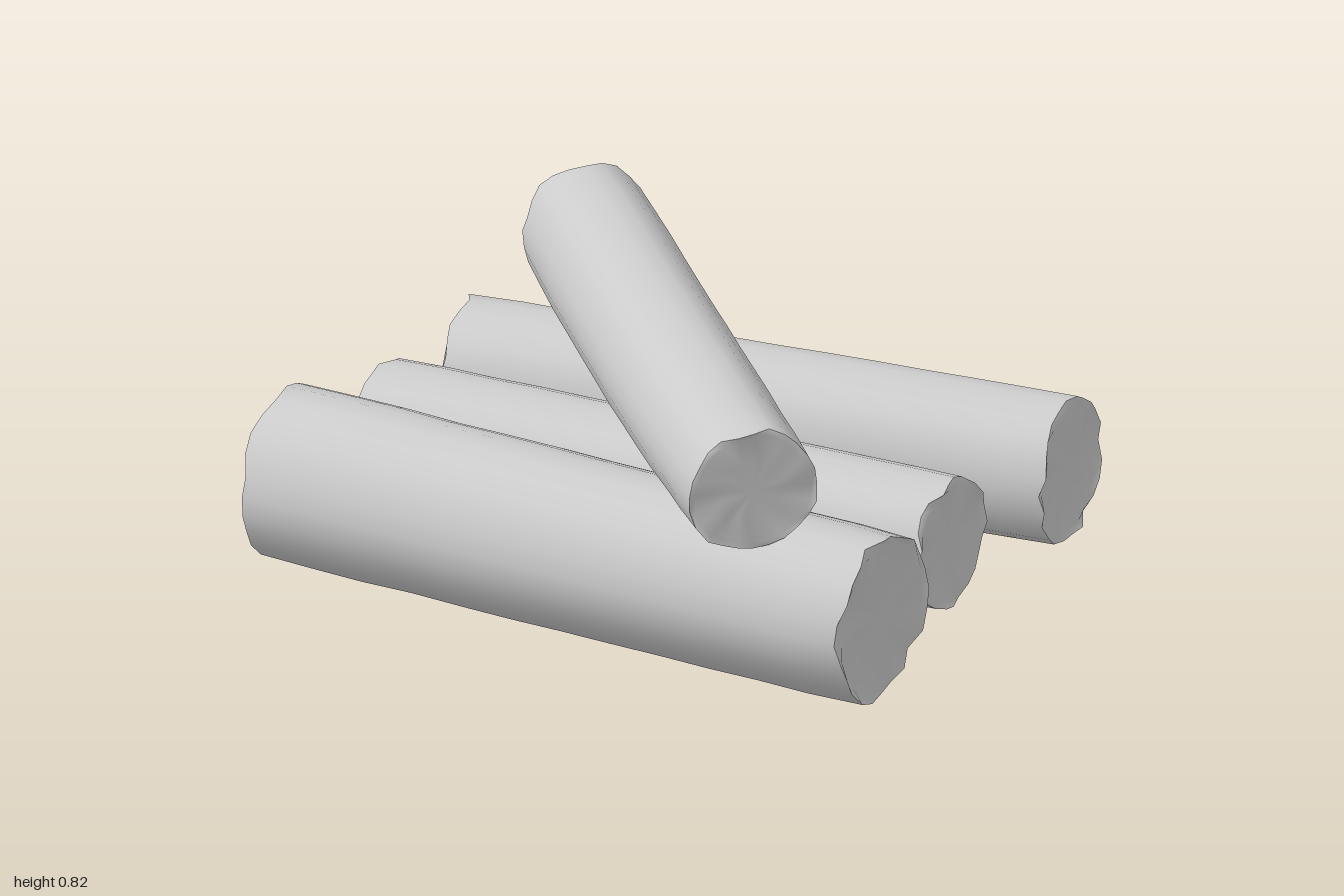
import * as THREE from 'three';
import { mergeGeometries } from 'three/addons/utils/BufferGeometryUtils.js';

const SIDES = 24, RINGS = 12;

function seeded(seed) {
  let s = seed;
  return () => ((s = (s * 16807) % 2147483647) / 2147483647);
}

// Triangles joining consecutive rings of SIDES points
function bridge(rings, index) {
  for (let i = 0; i < rings - 1; i++) {
    for (let j = 0; j < SIDES; j++) {
      const a = i * SIDES + j, b = i * SIDES + (j + 1) % SIDES;
      index.push(a, b, a + SIDES, b, b + SIDES, a + SIDES);
    }
  }
}

function toGeometry(points, index) {
  const g = new THREE.BufferGeometry().setFromPoints(points);
  g.setIndex(index);
  g.computeVertexNormals();
  return g;
}

// Log between two end centres: irregular smooth bark plus ragged sawn ends
function logGeometry({ from, to, r0, r1, belly = 0, seed }) {
  const rnd = seeded(seed);
  const A = new THREE.Vector3(...from), B = new THREE.Vector3(...to);
  const axis = B.clone().sub(A).normalize();
  const u = new THREE.Vector3(0, 1, 0).cross(axis).normalize();
  const v = axis.clone().cross(u);
  const phase = [2, 3, 5, 7].map((n) => [n, rnd() * 6.28, (rnd() - 0.5) * 0.8]);
  const ragged = [0, 1].map(() => Array.from({ length: SIDES }, () => (rnd() - 0.5) * 0.03));

  const ring = (t, scale, endJitter, push = 0) => {
    const pts = [];
    for (let j = 0; j < SIDES; j++) {
      const a = (j / SIDES) * Math.PI * 2;
      let k = 1;
      for (const [n, p, twist] of phase) k += (0.032 / Math.sqrt(n)) * Math.sin(n * a + p + twist * t * 3);
      const r = THREE.MathUtils.lerp(r0, r1, t) * k * scale;
      const c = A.clone().lerp(B, t).addScaledVector(axis, push + (endJitter ? endJitter[j] : 0));
      c.y -= belly * Math.sin(Math.PI * t);
      pts.push(c.addScaledVector(u, Math.cos(a) * r).addScaledVector(v, Math.sin(a) * r));
    }
    return pts;
  };

  // Bark
  const bark = [], barkIndex = [];
  for (let i = 0; i <= RINGS; i++) {
    const t = i / RINGS;
    const end = i === 0 ? ragged[0] : i === RINGS ? ragged[1] : null;
    bark.push(...ring(t, end ? 0.985 : 1 + (rnd() - 0.5) * 0.015 + belly * 2 * Math.sin(Math.PI * t), end));
  }
  bridge(RINGS + 1, barkIndex);
  const parts = [toGeometry(bark, barkIndex)];

  // Sawn ends, slightly hollow and uneven
  for (const t of [0, 1]) {
    const inward = t ? -1 : 1;
    const uneven = Array.from({ length: SIDES }, () => (rnd() - 0.5) * 0.012);
    const pts = [
      ...ring(t, 0.985, ragged[t]),
      ...ring(t, 0.9, uneven, inward * 0.003),
      ...ring(t, 0.45, null, inward * 0.008),
    ];
    const index = [];
    bridge(3, index);
    const centre = pts.length;
    pts.push(A.clone().lerp(B, t).addScaledVector(axis, inward * 0.004));
    for (let j = 0; j < SIDES; j++) index.push(2 * SIDES + j, 2 * SIDES + (j + 1) % SIDES, centre);
    if (!t) {
      for (let k = 0; k < index.length; k += 3) [index[k], index[k + 1]] = [index[k + 1], index[k]];
    }
    parts.push(toGeometry(pts, index));
  }
  return mergeGeometries(parts);
}

export function createModel() {
  const group = new THREE.Group();
  const material = new THREE.MeshStandardMaterial({ color: 0xcccccc });

  const logs = {
    frontLog: { from: [-0.985, 0.25, 0.475], to: [0.97, 0.262, 0.525], r0: 0.245, r1: 0.24, seed: 11 },
    middleLog: { from: [-0.915, 0.225, 0.05], to: [0.91, 0.28, 0.04], r0: 0.19, r1: 0.188, seed: 57 },
    backLog: { from: [-0.91, 0.23, -0.395], to: [0.915, 0.25, -0.615], r0: 0.2, r1: 0.21, seed: 203 },
    topLog: { from: [-0.645, 0.645, -0.6], to: [0.65, 0.64, 0.685], r0: 0.187, r1: 0.186, belly: 0.018, seed: 911 },
  };
  for (const [name, spec] of Object.entries(logs)) {
    const mesh = new THREE.Mesh(logGeometry(spec), material);
    mesh.name = name;
    group.add(mesh);
  }

  // Small knot low on the inner side of the front log
  const knot = new THREE.Mesh(new THREE.SphereGeometry(0.04, 12, 8), material);
  knot.name = 'knot';
  knot.scale.set(1.3, 0.6, 0.6);
  knot.position.set(0.2, 0.085, 0.345);
  group.add(knot);

  return group;
}
